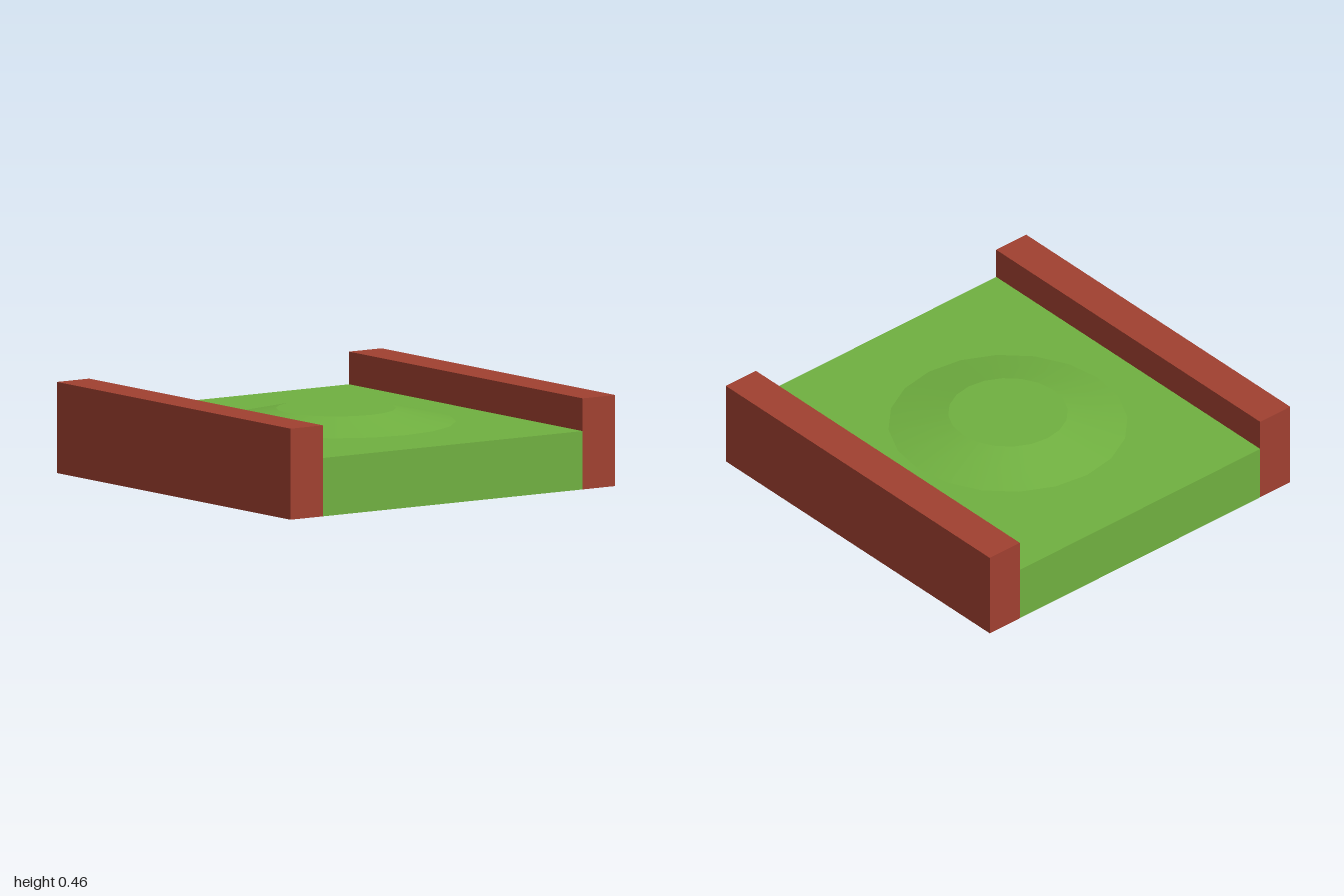
import * as THREE from 'three';

const green = new THREE.MeshStandardMaterial({ color: 0x70b040 });
const red = new THREE.MeshStandardMaterial({ color: 0xa04030 });

const BED_WIDTH = 1.6, BED_TOP = 0.295;
const WALL_WIDTH = 0.2, WALL_TOP = 0.46;
const MOUND_HEIGHT = 0.067, LENGTH = 2;

export function createModel() {
  const model = new THREE.Group();

  const add = (name, geometry, material, x, y) => {
    const mesh = new THREE.Mesh(geometry, material);
    mesh.name = name;
    mesh.position.set(x, y, 0);
    model.add(mesh);
  };

  // Grass bed, green all round with a red underside
  add('grassBed', new THREE.BoxGeometry(BED_WIDTH, BED_TOP, LENGTH),
    [green, green, green, red, green, green], 0, BED_TOP / 2);

  // Low mound with a flat top
  add('mound', new THREE.CylinderGeometry(0.3, 0.6, MOUND_HEIGHT, 20),
    green, 0, BED_TOP + MOUND_HEIGHT / 2);

  // Side walls
  for (const [name, side] of [['leftWall', 1], ['rightWall', -1]]) {
    add(name, new THREE.BoxGeometry(WALL_WIDTH, WALL_TOP, LENGTH),
      red, side * (BED_WIDTH + WALL_WIDTH) / 2, WALL_TOP / 2);
  }

  return model;
}
